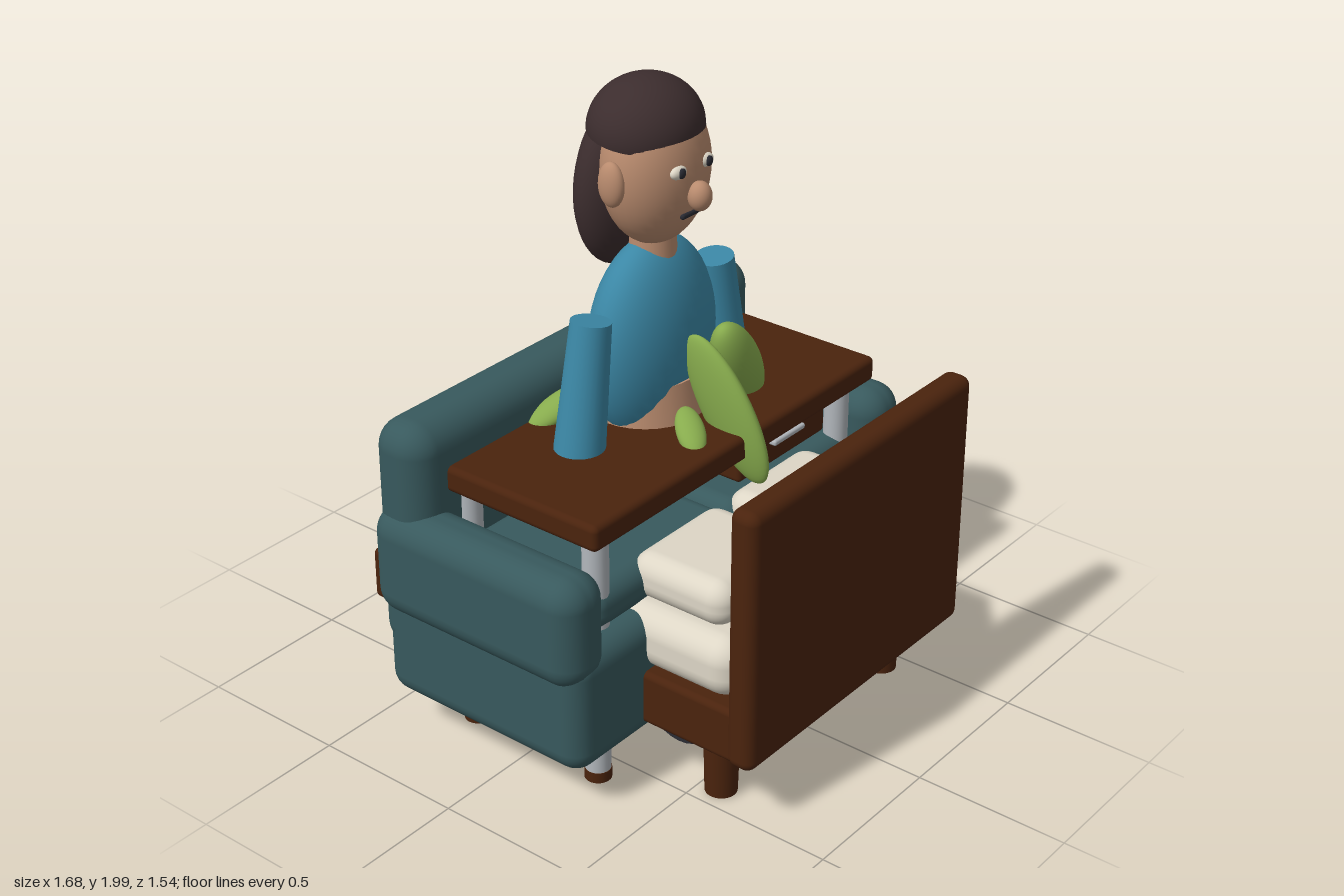
import * as THREE from 'three';
import { RoundedBoxGeometry } from 'three/addons/geometries/RoundedBoxGeometry.js';

const mat = (name, color) => {
  const m = new THREE.MeshStandardMaterial({ color });
  m.name = name;
  return m;
};

export function createModel() {
  const root = new THREE.Group();
  const teal = mat('teal fabric', 0x38595d), brown = mat('dark wood', 0x4a230d);
  const cream = mat('cream', 0xddd6c6), blue = mat('blue', 0x3b87a5);
  const skin = mat('warm tan', 0xb98b6e), hair = mat('dark hair', 0x3c2d2e);
  const green = mat('leaf green', 0x87ab4d), silver = mat('silver', 0xb2b7bc);
  const black = mat('black', 0x292a32), gold = mat('gold', 0xd0a54c);

  const group = (name) => {
    const g = new THREE.Group();
    g.name = name;
    root.add(g);
    return g;
  };
  const add = (parent, name, geo, material, pos) => {
    const m = new THREE.Mesh(geo, material);
    m.name = name;
    m.position.set(...pos);
    parent.add(m);
    return m;
  };
  // Rounded box given by its minimum and maximum corners
  const box = (parent, name, material, a, b, r = 0.02) => {
    const s = a.map((v, i) => b[i] - v);
    const geo = new RoundedBoxGeometry(s[0], s[1], s[2], 4, Math.min(r, Math.min(...s) * 0.499));
    return add(parent, name, geo, material, a.map((v, i) => (v + b[i]) / 2));
  };
  const ball = (parent, name, material, pos, radii) => {
    const m = add(parent, name, new THREE.SphereGeometry(1, 32, 24), material, pos);
    m.scale.set(...radii);
    return m;
  };
  const rod = (parent, name, material, pos, rTop, rBottom, h) =>
    add(parent, name, new THREE.CylinderGeometry(rTop, rBottom, h, 28), material, pos);

  // Bed
  const bed = group('bed');
  box(bed, 'headboard', brown, [-0.55, 0.215, 0.675], [0.55, 1.075, 0.77], 0.035);
  box(bed, 'bedFrame', brown, [-0.515, 0.2, -0.77], [0.515, 0.38, 0.7], 0.02);
  box(bed, 'mattress', cream, [-0.5, 0.37, -0.73], [0.5, 0.57, 0.66], 0.08);
  box(bed, 'blanket', teal, [-0.5, 0.563, -0.71], [0.5, 0.645, 0.1], 0.035);
  for (const s of [-1, 1]) {
    box(bed, 'pillow', cream, [s * 0.23 - 0.21, 0.56, 0.22], [s * 0.23 + 0.21, 0.71, 0.585], 0.065);
    for (const z of [0.57, -0.63]) rod(bed, 'bedLeg', brown, [s * 0.42, 0.11, z], 0.055, 0.05, 0.2);
  }

  // Sofa
  const sofa = group('sofa');
  box(sofa, 'sofaBase', teal, [-0.81, 0.15, -0.43], [0.81, 0.55, 0.35], 0.07);
  box(sofa, 'sofaBack', teal, [-0.81, 0.3, -0.455], [0.81, 1.08, -0.245], 0.09);
  for (const s of [-1, 1]) {
    box(sofa, 'sofaArm', teal, [s * 0.745 - 0.095, 0.44, -0.45], [s * 0.745 + 0.095, 0.8, 0.35], 0.085);
    box(sofa, 'seatCushion', teal, [s * 0.33 - 0.33, 0.54, -0.26], [s * 0.33 + 0.33, 0.68, 0.29], 0.06);
  }

  // Desk
  const desk = group('desk');
  box(desk, 'deskTop', brown, [-0.69, 0.855, -0.32], [0.69, 0.94, 0.32], 0.02);
  box(desk, 'drawer', brown, [0.1, 0.7, -0.24], [0.55, 0.86, 0.23], 0.015);
  box(desk, 'drawerHandle', silver, [0.25, 0.775, 0.225], [0.41, 0.795, 0.255], 0.008);
  for (const s of [-1, 1]) for (const z of [-0.25, 0.24]) {
    rod(desk, 'deskLeg', silver, [s * 0.597, 0.45, z], 0.04, 0.04, 0.82);
    rod(desk, 'deskFoot', brown, [s * 0.597, 0.025, z], 0.042, 0.042, 0.035);
  }

  // Person
  const person = group('person');
  ball(person, 'torso', blue, [0, 1.17, -0.035], [0.255, 0.335, 0.145]);
  rod(person, 'neck', skin, [0, 1.47, -0.03], 0.07, 0.075, 0.14);
  ball(person, 'head', skin, [0, 1.73, -0.02], [0.187, 0.24, 0.15]);
  ball(person, 'nose', skin, [0, 1.675, 0.145], [0.037, 0.046, 0.037]);
  box(person, 'mouth', black, [-0.042, 1.602, 0.1], [0.042, 1.62, 0.118], 0.008);
  const cap = add(person, 'hairCap',
    new THREE.SphereGeometry(1, 36, 20, 0, Math.PI * 2, 0, Math.PI * 0.53), hair, [0, 1.845, -0.055]);
  cap.material.side = THREE.DoubleSide;
  cap.scale.set(0.187, 0.155, 0.167);
  cap.rotation.x = 0.12;
  const backHair = ball(person, 'backHair', hair, [0, 1.65, -0.152], [0.18, 0.27, 0.105]);
  backHair.rotation.x = 0.06;
  for (const s of [-1, 1]) {
    ball(person, 'ear', skin, [s * 0.188, 1.725, -0.03], [0.03, 0.07, 0.045]);
    ball(person, 'eyeWhite', cream, [s * 0.063, 1.76, 0.115], [0.032, 0.021, 0.018]);
    ball(person, 'pupil', black, [s * 0.063, 1.76, 0.129], [0.015, 0.016, 0.009]);
    const arm = rod(person, 'arm', blue, [s * 0.325, 1.115, -0.025], 0.062, 0.08, 0.44);
    arm.rotation.z = s * 0.15;
  }

  // Potted plant
  const plant = group('plant');
  rod(plant, 'pot', skin, [0, 1.0, -0.06], 0.17, 0.19, 0.13);
  // Each leaf runs from tip to tip, with a half width and half thickness
  const leaf = (a, b, w, t, widthDir) => {
    const p = new THREE.Vector3(...a), q = new THREE.Vector3(...b);
    const axis = p.clone().sub(q), half = axis.length() / 2;
    axis.normalize();
    const side = new THREE.Vector3(...widthDir).cross(axis).normalize();
    const wide = axis.clone().cross(side);
    const m = ball(plant, 'leaf', green, p.add(q).multiplyScalar(0.5).toArray(), [w, half, t]);
    m.quaternion.setFromRotationMatrix(new THREE.Matrix4().makeBasis(wide, axis, side));
  };
  leaf([0, 1.22, 0.12], [0.05, 0.77, 0.35], 0.1, 0.04, [0, 0, 1]);
  leaf([0.11, 1.21, 0.15], [0.33, 0.87, 0.1], 0.08, 0.07, [1, 0, 0]);
  leaf([-0.05, 1.0, 0.13], [-0.15, 0.92, 0.26], 0.045, 0.03, [1, 0, 0.7]);
  leaf([-0.15, 1.02, -0.16], [-0.34, 0.92, -0.24], 0.05, 0.035, [0, 0, 1]);

  // Toy car below the bed
  const car = group('car');
  box(car, 'carBody', blue, [-0.28, 0.125, -0.56], [0.28, 0.36, 0.51], 0.06);
  for (const s of [-1, 1]) for (const z of [0.36, -0.43]) {
    const tyre = rod(car, 'tyre', black, [s * 0.32, 0.185, z], 0.13, 0.13, 0.08);
    const hub = rod(car, 'hub', silver, [s * 0.325, 0.185, z], 0.085, 0.085, 0.09);
    tyre.rotation.z = hub.rotation.z = Math.PI / 2;
  }

  // Plate with food and stacks of coins
  const meal = group('meal');
  const profile = [[0, 0.008], [0.35, 0.008], [0.36, 0.03], [0.4, 0.045], [0.4, 0.055], [0.34, 0.042], [0, 0.04]];
  add(meal, 'plate', new THREE.LatheGeometry(profile.map((p) => new THREE.Vector2(...p)), 48), cream, [0, 0, -0.04]);
  rod(meal, 'breadSlice', cream, [0, 0.07, -0.04], 0.28, 0.3, 0.05);
  rod(meal, 'patty', hair, [0, 0.112, -0.02], 0.18, 0.18, 0.03);
  ball(meal, 'garnish', green, [0.03, 0.112, 0.12], [0.09, 0.02, 0.07]);
  for (const [x, z] of [[0.36, 0.09], [0.34, -0.16], [-0.38, -0.15]])
    for (let i = 0; i < 3; i++)
      box(meal, 'coin', gold, [0, 0, 0], [0.01, 0.01, 0.01]).removeFromParent(),
      ball(meal, 'coin', gold, [x, 0.03 + i * 0.042, z], [0.1, 0.023, 0.1]);

  return root;
}
